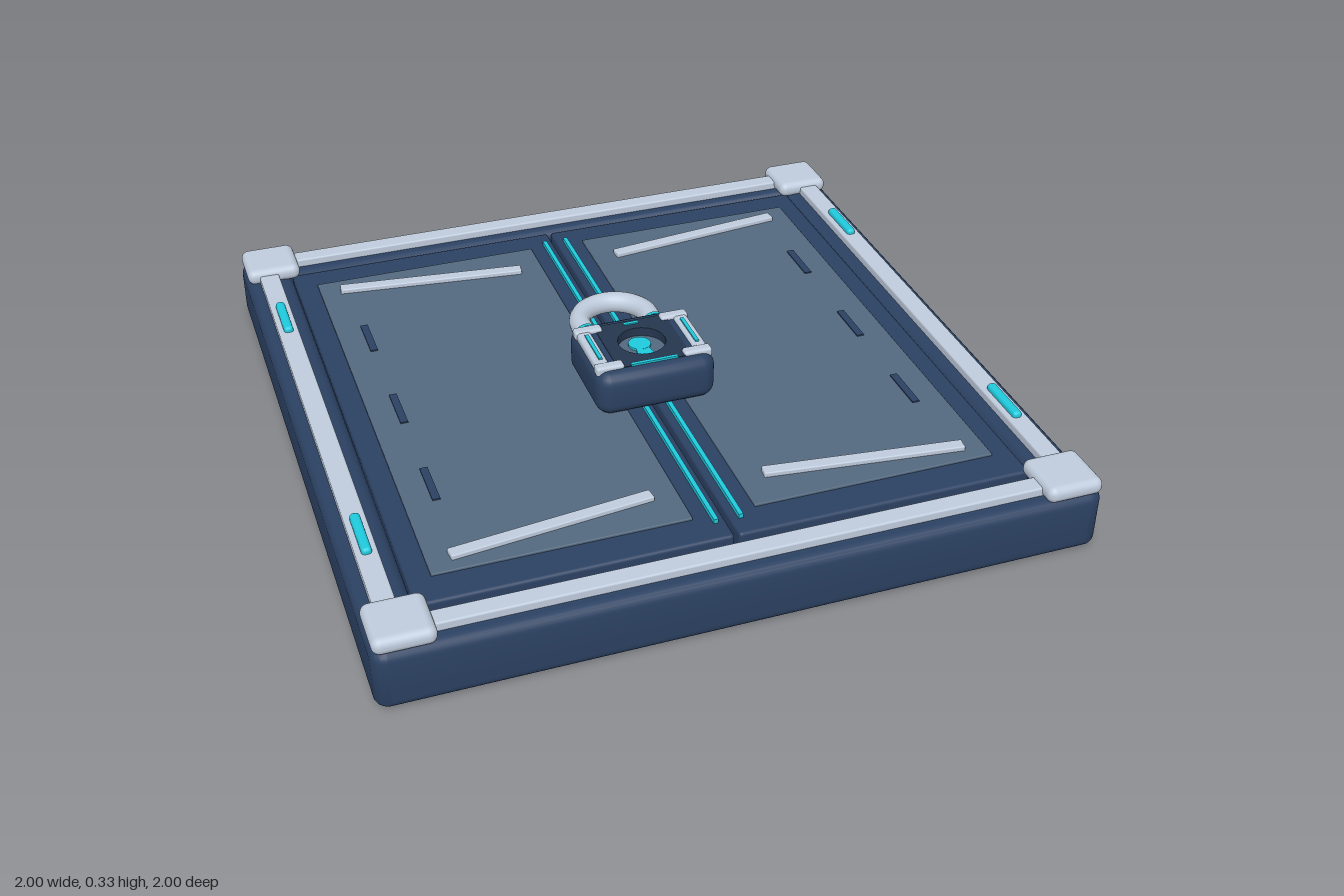
import * as THREE from 'three';
import { toCreasedNormals } from 'three/addons/utils/BufferGeometryUtils.js';
import { RoundedBoxGeometry } from 'three/addons/geometries/RoundedBoxGeometry.js';

const mat = (name, color) => Object.assign(new THREE.MeshStandardMaterial({ color }), { name });

function roundedRect(Kind, hx, hz, r) {
  const s = new Kind();
  s.moveTo(-hx + r, -hz);
  s.lineTo(hx - r, -hz); s.absarc(hx - r, -hz + r, r, -Math.PI / 2, 0);
  s.lineTo(hx, hz - r); s.absarc(hx - r, hz - r, r, 0, Math.PI / 2);
  s.lineTo(-hx + r, hz); s.absarc(-hx + r, hz - r, r, Math.PI / 2, Math.PI);
  s.lineTo(-hx, -hz + r); s.absarc(-hx + r, -hz + r, r, Math.PI, Math.PI * 1.5);
  return s;
}

const circle = (r, y = 0) => new THREE.Path().absarc(0, y, r, 0, Math.PI * 2);

// Extrude a plan shape upward from y0 to y1 with a rounded edge
function slab(shape, y0, y1, bevel) {
  const g = new THREE.ExtrudeGeometry(shape, {
    depth: y1 - y0 - 2 * bevel, bevelEnabled: bevel > 0, bevelThickness: bevel,
    bevelSize: bevel, bevelOffset: -bevel, bevelSegments: 5, curveSegments: 10,
  });
  g.rotateX(-Math.PI / 2).translate(0, y0 + bevel, 0);
  return toCreasedNormals(g, 0.6);
}

export function createModel() {
  const navy = mat('navy', 0x2b4162);
  const slate = mat('slate', 0x54697f);
  const silver = mat('silver', 0xbfcbdc);
  const teal = mat('teal', 0x20cade);
  const dark = mat('darkNavy', 0x25364f);

  const root = new THREE.Group();
  root.name = 'lockedHatch';
  const add = (parent, name, geo, material, x = 0, y = 0, z = 0) => {
    const m = new THREE.Mesh(geo, material);
    m.name = name;
    m.position.set(x, y, z);
    parent.add(m);
    return m;
  };
  const box = (parent, name, material, w, h, d, x, y, z, r = 0) => add(parent, name,
    r ? new RoundedBoxGeometry(w, h, d, 4, r) : new THREE.BoxGeometry(w, h, d), material, x, y, z);

  // Outer frame, open through the middle
  const frameShape = roundedRect(THREE.Shape, 1, 1, 0.04);
  frameShape.holes.push(roundedRect(THREE.Path, 0.855, 0.855, 0.005));
  add(root, 'frame', slab(frameShape, 0, 0.18, 0.03), navy);

  // Rails, corner caps and lights on the frame
  for (const s of [-1, 1]) {
    box(root, 'crossRail', silver, 1.72, 0.035, 0.055, 0, 0.187, s * 0.925, 0.006);
    box(root, 'sideRail', silver, 0.06, 0.035, 1.72, s * 0.93, 0.187, 0, 0.006);
    for (const t of [-1, 1]) {
      box(root, 'cornerCap', silver, 0.165, 0.05, 0.165, s * 0.913, 0.197, t * 0.913, 0.023);
      box(root, 'railLight', teal, 0.028, 0.03, 0.165, s * 0.93, 0.206, t * 0.557, 0.011);
    }
  }

  // Two doors with raised panels and trim
  for (const s of [-1, 1]) {
    const door = new THREE.Group();
    door.name = s > 0 ? 'leftDoor' : 'rightDoor';
    root.add(door);
    box(door, 'doorLeaf', navy, 0.85, 0.12, 1.695, s * 0.431, 0.12, -0.004, 0.01);
    box(door, 'doorPanel', slate, 0.705, 0.012, 1.505, s * 0.44, 0.181, -0.005, 0.003);
    box(door, 'seamLight', teal, 0.013, 0.02, 1.56, s * 0.035, 0.183, 0);
    for (const z of [-0.39, 0.005, 0.38])
      box(door, 'panelSlot', navy, 0.022, 0.008, 0.148, s * 0.705, 0.187, z);
    for (const t of [-1, 1]) {
      const bar = box(door, 'panelBar', silver, 0.575, 0.018, 0.037, s * 0.445, 0.192, t * 0.66, 0.004);
      bar.rotation.y = -s * t * 0.115;
    }
  }

  // Padlock lying on the seam, with a round recess in its face
  const lock = new THREE.Group();
  lock.name = 'padlock';
  lock.position.z = 0.088;
  root.add(lock);
  const bodyShape = roundedRect(THREE.Shape, 0.178, 0.154, 0.045);
  bodyShape.holes.push(circle(0.071));
  add(lock, 'lockBody', slab(bodyShape, 0.184, 0.32, 0.037), navy);
  const faceShape = roundedRect(THREE.Shape, 0.11, 0.115, 0.012);
  faceShape.holes.push(circle(0.07));
  add(lock, 'lockFace', slab(faceShape, 0.28, 0.322, 0), dark);

  // Bracket trim and lights on both sides of the lock
  for (const s of [-1, 1]) {
    box(lock, 'bracketSide', silver, 0.042, 0.03, 0.23, s * 0.148, 0.313, 0, 0.01);
    for (const t of [-1, 1])
      box(lock, 'bracketArm', silver, 0.084, 0.03, 0.034, s * 0.132, 0.317, t * 0.1, 0.009);
    box(lock, 'sideLight', teal, 0.011, 0.01, 0.13, s * 0.146, 0.328, 0);
  }
  box(lock, 'lowerLight', teal, 0.14, 0.01, 0.011, 0, 0.321, 0.11);
  box(lock, 'upperLight', teal, 0.045, 0.01, 0.011, 0, 0.321, -0.098);

  // Keyhole at the bottom of the recess
  add(lock, 'keyholeDisc', new THREE.CylinderGeometry(0.07, 0.07, 0.1, 32), slate, 0, 0.245, 0);
  add(lock, 'keyholeTop', new THREE.CylinderGeometry(0.033, 0.033, 0.008, 24), teal, 0, 0.298, -0.02);
  const slot = new THREE.Shape([[-0.016, 0.01], [-0.027, -0.05], [0.027, -0.05], [0.016, 0.01]]
    .map(([x, y]) => new THREE.Vector2(x, y)));
  add(lock, 'keyholeSlot', slab(slot, 0.294, 0.3015, 0), teal);

  // Shackle: two legs joined by a half circle
  const R = 0.106, y = 0.247, path = new THREE.CurvePath();
  const arc = [];
  for (let i = 0; i <= 16; i++) {
    const a = Math.PI * i / 16;
    arc.push(new THREE.Vector3(R * Math.cos(a), y, -0.157 - R * Math.sin(a)));
  }
  path.add(new THREE.LineCurve3(new THREE.Vector3(R, y, -0.03), arc[0]));
  path.add(new THREE.CatmullRomCurve3(arc));
  path.add(new THREE.LineCurve3(arc[16], new THREE.Vector3(-R, y, -0.03)));
  add(root, 'shackle', new THREE.TubeGeometry(path, 48, 0.032, 16), silver);
  for (const s of [-1, 1]) {
    const ring = add(root, 'shackleRing', new THREE.CylinderGeometry(0.035, 0.035, 0.012, 24), teal, s * R, y, -0.107);
    ring.rotation.x = Math.PI / 2;
  }
  return root;
}
